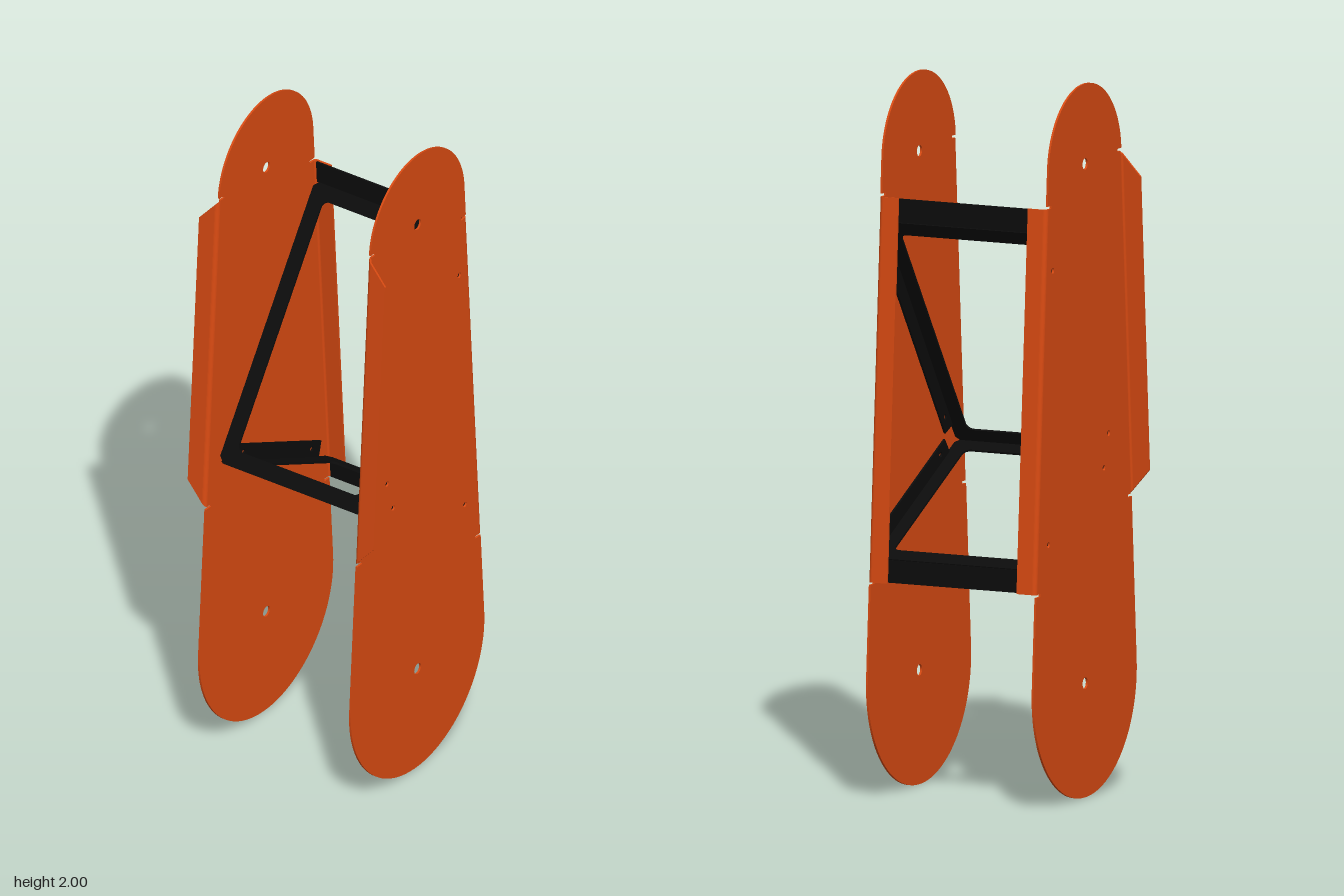
import * as THREE from 'three';

const T = 0.006;                       // sheet thickness
const R = 0.012;                       // outer bend radius
const PLATE_Z = 0.256;
const LOW = { y: 0.32, r: 0.32 }, TOP = { y: 1.775, r: 0.225 };
const PHI = Math.asin((LOW.r - TOP.r) / (TOP.y - LOW.y));
const TAN = Math.tan(PHI);
// half width of the plate along its tapering straight edge
const edgeX = (y) => LOW.r * Math.cos(PHI) - (y - LOW.y - LOW.r * Math.sin(PHI)) * TAN;

const orange = new THREE.MeshStandardMaterial({ color: 0xd84a12, side: THREE.DoubleSide });
const black = new THREE.MeshStandardMaterial({ color: 0x0c0c0c, side: THREE.DoubleSide });
const vec = (x, y, z = 0) => new THREE.Vector3(x, y, z);

const circle = (x, y, r) => new THREE.Path().absarc(x, y, r, 0, Math.PI * 2, true);

// extrusion centred on its depth
function extrude(shape, depth, segments = 8) {
  const geo = new THREE.ExtrudeGeometry(shape, { depth, bevelEnabled: false, curveSegments: segments });
  return geo.translate(0, 0, -depth / 2);
}

// mesh whose local x and y axes follow the given directions
function place(name, geo, material, origin, xDir, yDir) {
  const basis = new THREE.Matrix4().makeBasis(xDir, yDir, xDir.clone().cross(yDir));
  const mesh = new THREE.Mesh(geo.applyMatrix4(basis.setPosition(origin)), material);
  mesh.name = name;
  return mesh;
}

const INNER = { side: 1, y0: 0.61, y1: 1.68, depth: 0.059, chamfer: 0 };
const OUTER = { side: -1, y0: 0.81, y1: 1.78, depth: 0.062, chamfer: 0.07 };

// edge points of the plate with relief slots at both ends of a flange
function edgePoints({ side, y0, y1 }) {
  const slot = 0.008;
  return [[y0 - slot, 0], [y0 - slot, 0.024], [y0, 0.024], [y0, R - T],
    [y1, R - T], [y1, 0.024], [y1 + slot, 0.024], [y1 + slot, 0]]
    .map(([y, inset]) => [side * (edgeX(y) - inset), y]);
}

// round-ended tapering side plate with pivot and screw holes
function sidePlate(z) {
  const s = new THREE.Shape();
  s.absarc(0, LOW.y, LOW.r, Math.PI - PHI, Math.PI * 2 + PHI, false);
  edgePoints(INNER).forEach(([x, y]) => s.lineTo(x, y));
  s.absarc(0, TOP.y, TOP.r, PHI, Math.PI - PHI, false);
  edgePoints(OUTER).reverse().forEach(([x, y]) => s.lineTo(x, y));
  s.closePath();
  s.holes.push(circle(0, 0.32, 0.016), circle(0, 1.775, 0.016));
  for (const [x, y] of [[0.2, 1.505], [-0.146, 1], [-0.117, 0.907], [0.227, 0.74]]) {
    s.holes.push(circle(x, y, 0.008));
  }
  return place('sidePlate', extrude(s, T, 32), orange, vec(0, 0, z), vec(1, 0), vec(0, 1));
}

// folded edge strip: a quarter bend and a straight leg, optionally chamfered
function flange(name, { side, y0, y1, depth, chamfer }, plateSide) {
  const s = new THREE.Shape();
  s.moveTo(-R, 0);
  s.absarc(-R, R, R, -Math.PI / 2, 0, false);
  s.lineTo(0, depth);
  s.lineTo(-T, depth);
  s.absarc(-R, R, R - T, 0, -Math.PI / 2, true);
  s.closePath();
  const length = (y1 - y0) / Math.cos(PHI);
  const geo = extrude(s, length, 6);
  const p = geo.attributes.position;
  for (let i = 0; i < p.count; i++) {
    p.setZ(i, p.getZ(i) * (1 - (p.getY(i) / depth) * chamfer / (length / 2)));
  }
  geo.computeVertexNormals();
  const mid = (y0 + y1) / 2;
  const fold = -side * plateSide;      // the +x strip folds inward, the -x strip outward
  const origin = vec(side * (edgeX(mid) + T), mid, plateSide * PLATE_Z - fold * T / 2);
  return place(name, geo, orange, origin,
    vec(side * Math.cos(PHI), Math.sin(PHI)), vec(0, 0, fold));
}

// windowed brace panel from a to b with screw lips folded toward the inside of the V
function bracePanel(name, a, b, inside) {
  const group = new THREE.Group();
  group.name = name;
  const d = b.clone().sub(a), L = d.length();
  d.normalize();
  const W = 0.252, BAR = 0.045, r = 0.02, c = 0.015;

  const s = new THREE.Shape();
  s.moveTo(0, -W + c);
  s.lineTo(c, -W);
  s.lineTo(L - c, -W);
  s.lineTo(L, -W + c);
  s.lineTo(L, W - c);
  s.lineTo(L - c, W);
  s.lineTo(c, W);
  s.lineTo(0, W - c);
  s.closePath();
  const x0 = BAR, x1 = L - BAR, w = W - BAR, h = new THREE.Path();
  h.absarc(x1 - r, w - r, r, 0, Math.PI / 2, false);
  h.absarc(x0 + r, w - r, r, Math.PI / 2, Math.PI, false);
  h.absarc(x0 + r, -w + r, r, Math.PI, Math.PI * 1.5, false);
  h.absarc(x1 - r, -w + r, r, Math.PI * 1.5, Math.PI * 2, false);
  h.closePath();
  s.holes.push(h);
  group.add(place('braceFace', extrude(s, T), black, a, d, vec(0, 0, 1)));

  const n = vec(-d.y * inside, d.x * inside);
  for (const side of [-1, 1]) {
    const lip = new THREE.Shape([[0.06, 0], [L - 0.06, 0], [L - 0.07, 0.05], [0.07, 0.05]]
      .map(([x, y]) => new THREE.Vector2(x, y)));
    lip.holes.push(circle(0.11, 0.026, 0.008), circle(L - 0.11, 0.026, 0.008));
    group.add(place('screwLip', extrude(lip, T), black,
      a.clone().setZ(side * (W - T / 2)), d, n));
  }
  return group;
}

// upright end strip lying against the inward flanges
function endTab(name, y0, y1) {
  const mid = (y0 + y1) / 2;
  const geo = new THREE.BoxGeometry(T, (y1 - y0) / Math.cos(PHI), 0.49);
  return place(name, geo, black, vec(edgeX(mid) - T / 2, mid),
    vec(Math.cos(PHI), Math.sin(PHI)), vec(-Math.sin(PHI), Math.cos(PHI)));
}

export function createModel() {
  const model = new THREE.Group();
  model.name = 'bracedArm';

  // mirrored side plates with folded edges
  for (const side of [1, -1]) {
    const group = new THREE.Group();
    group.name = side > 0 ? 'frontSide' : 'backSide';
    group.add(sidePlate(side * PLATE_Z),
      flange('inwardFlange', INNER, side), flange('outwardFlange', OUTER, side));
    model.add(group);
  }

  // V-shaped folded brace between the plates
  const brace = new THREE.Group();
  brace.name = 'brace';
  const bend = vec(-0.229, 0.932);
  const yUp = 1.612, yLow = 0.675;
  brace.add(
    bracePanel('upperBrace', bend, vec(edgeX(yUp) - T / 2, yUp), -1),
    bracePanel('lowerBrace', bend, vec(edgeX(yLow) - T / 2, yLow), 1),
    endTab('upperTab', yUp, 1.678),
    endTab('lowerTab', 0.612, yLow));
  model.add(brace);
  return model;
}
